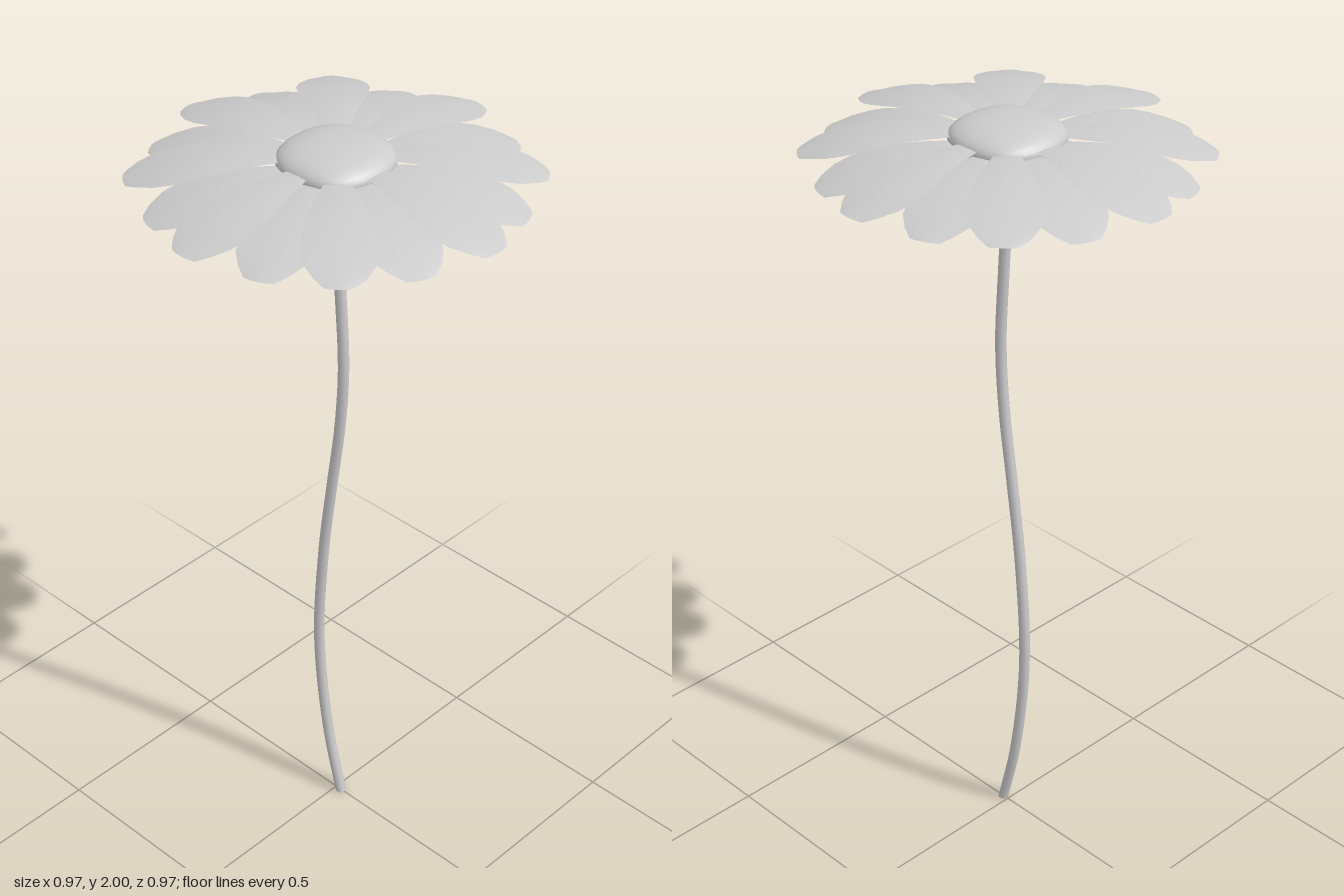
import * as THREE from 'three';
import { mergeVertices } from 'three/addons/utils/BufferGeometryUtils.js';

const grey = new THREE.MeshStandardMaterial({ color: 0xcccccc });
const greyThin = new THREE.MeshStandardMaterial({ color: 0xcccccc, side: THREE.DoubleSide });

// Petal along +z: rows of [distance from the centre, half width, height]
function petalGeometry(rows, arch) {
  const cols = 4;
  const geo = new THREE.PlaneGeometry(1, 1, cols, rows.length - 1);
  const pos = geo.attributes.position;
  rows.forEach(([r, w, y], j) => {
    for (let i = 0; i <= cols; i++) {
      const u = (i / cols) * 2 - 1;
      const tip = j === rows.length - 1 ? 0.008 * u * u : 0;
      pos.setXYZ(j * (cols + 1) + i, u * w, y - arch * u * u * (w / 0.088), r - tip);
    }
  });
  geo.computeVertexNormals();
  return geo;
}

// Ring of petals evenly turned around the stem axis
function petalRing(name, geo, offset) {
  const ring = new THREE.Group();
  ring.name = name;
  for (let i = 0; i < 8; i++) {
    const petal = new THREE.Mesh(geo, greyThin);
    petal.name = 'petal';
    petal.rotation.y = offset + (i * Math.PI) / 4;
    ring.add(petal);
  }
  return ring;
}

// Flattened, slightly squarish button made by rounding a box
function centreGeometry() {
  let geo = new THREE.BoxGeometry(2, 2, 2, 10, 10, 10);
  geo.deleteAttribute('uv');
  geo.deleteAttribute('normal');
  geo = mergeVertices(geo);
  const pos = geo.attributes.position;
  const n = 2.35;
  for (let i = 0; i < pos.count; i++) {
    const p = [pos.getX(i), pos.getY(i), pos.getZ(i)].map((c) => Math.tan((c * Math.PI) / 4));
    const len = p.reduce((s, c) => s + Math.abs(c) ** n, 0) ** (1 / n);
    pos.setXYZ(i, (p[0] / len) * 0.132, (p[1] / len) * 0.045, (p[2] / len) * 0.132);
  }
  geo.computeVertexNormals();
  return geo;
}

export function createModel() {
  const flower = new THREE.Group();
  flower.name = 'flower';

  // Stem: gentle S-curve in the x-y plane, with closed ends
  const radius = 0.014;
  const curve = new THREE.CatmullRomCurve3(
    [[0.017, 0], [-0.03, 0.2], [-0.062, 0.5], [-0.045, 0.8], [-0.015, 1.03],
      [0.012, 1.22], [0.024, 1.4], [0.014, 1.6], [0, 1.8], [-0.004, 1.93]]
      .map(([x, y]) => new THREE.Vector3(x, y, 0)));
  const stemGeo = new THREE.TubeGeometry(curve, 40, radius, 10);
  const pos = stemGeo.attributes.position;
  for (let i = 0; i <= 10; i++) pos.setY(i, 0);
  const stem = new THREE.Mesh(stemGeo, grey);
  stem.name = 'stem';
  const foot = new THREE.Mesh(new THREE.CircleGeometry(radius, 10), grey);
  foot.name = 'stemFoot';
  foot.rotation.x = Math.PI / 2;
  foot.position.x = 0.017;
  flower.add(stem, foot);

  // Two layers of drooping petals
  const upper = petalGeometry([
    [0.06, 0.016, 1.962], [0.13, 0.031, 1.968], [0.215, 0.055, 1.97], [0.3, 0.08, 1.963],
    [0.37, 0.088, 1.949], [0.41, 0.081, 1.939], [0.45, 0.059, 1.927], [0.484, 0.036, 1.916],
  ], 0.005);
  const lower = petalGeometry([
    [0.06, 0.016, 1.95], [0.13, 0.031, 1.956], [0.205, 0.055, 1.957], [0.285, 0.08, 1.949],
    [0.35, 0.088, 1.935], [0.39, 0.081, 1.924], [0.428, 0.059, 1.912], [0.461, 0.036, 1.901],
  ], 0.005);
  flower.add(petalRing('upperPetals', upper, 0));
  flower.add(petalRing('lowerPetals', lower, Math.PI / 8));

  // Flower centre
  const centre = new THREE.Mesh(centreGeometry(), grey);
  centre.name = 'flowerCentre';
  centre.position.y = 1.955;
  flower.add(centre);

  return flower;
}
